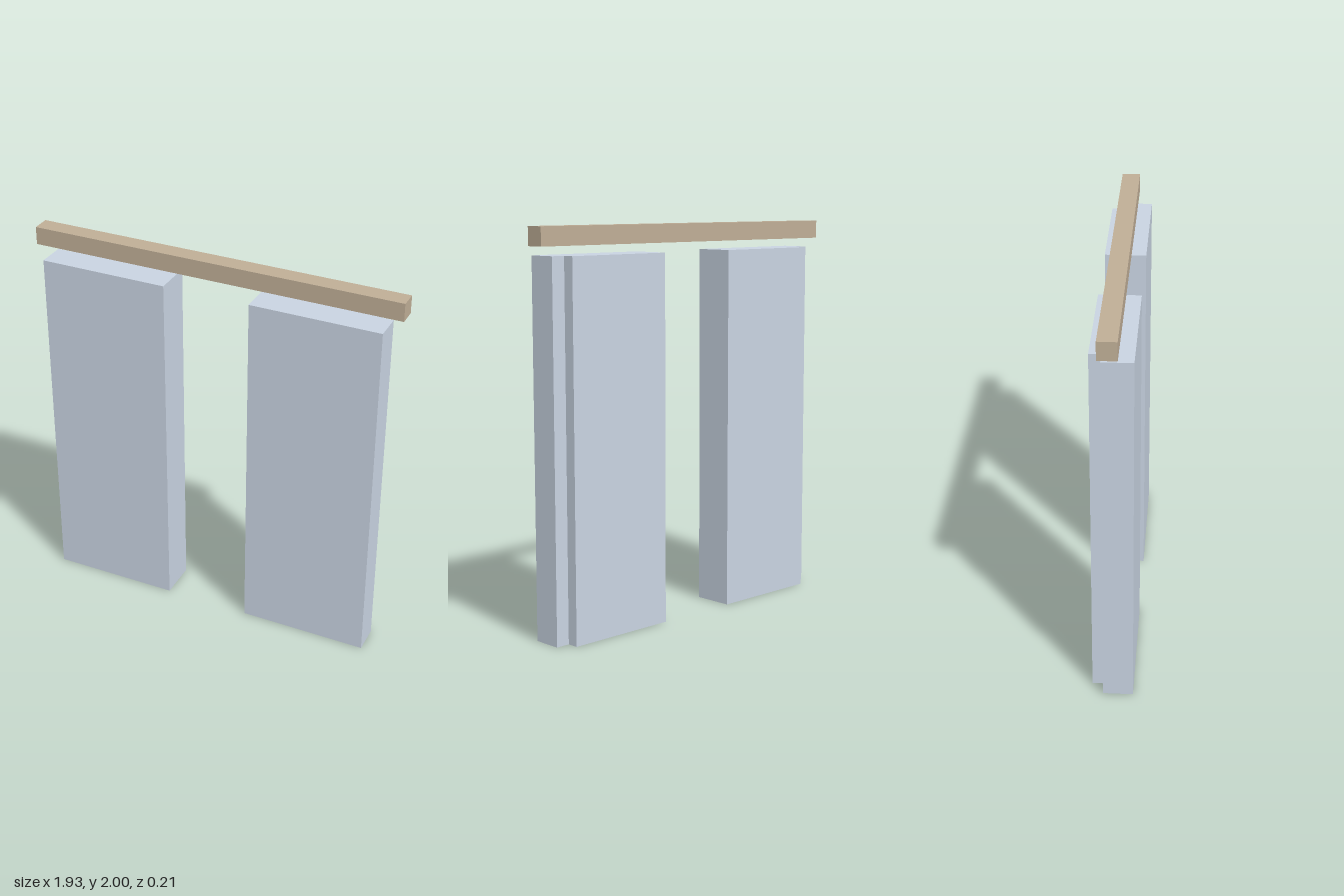
import * as THREE from 'three';

export function createModel() {
  const model = new THREE.Group();
  const panelGrey = new THREE.MeshStandardMaterial({ color: 0xc9d4e2 });
  panelGrey.name = 'pale blue grey panel';
  const woodBrown = new THREE.MeshStandardMaterial({ color: 0xbfae96 });
  woodBrown.name = 'light brown beam';

  // Plan of a pillar with a rebate at its outer back corner, extruded upwards.
  // side = 1 is the left pillar, -1 its mirror image.
  const addPillar = (side, name) => {
    const plan = [[0.225, 0.103], [0.893, 0.103], [0.893, -0.045], [0.82, -0.045], [0.82, -0.103], [0.225, -0.103]];
    const shape = new THREE.Shape(plan.map(([x, z]) => new THREE.Vector2(side * x, -z)));
    const geometry = new THREE.ExtrudeGeometry(shape, { depth: 1.862, bevelEnabled: false });
    geometry.rotateX(-Math.PI / 2);
    const pillar = new THREE.Mesh(geometry, panelGrey);
    pillar.name = name;
    model.add(pillar);
  };
  addPillar(1, 'leftPillar');
  addPillar(-1, 'rightPillar');

  // Beam floating just above both pillars
  const beam = new THREE.Mesh(new THREE.BoxGeometry(1.934, 0.092, 0.093), woodBrown);
  beam.position.set(0, 1.954, -0.011);
  beam.name = 'topBeam';
  model.add(beam);

  return model;
}
